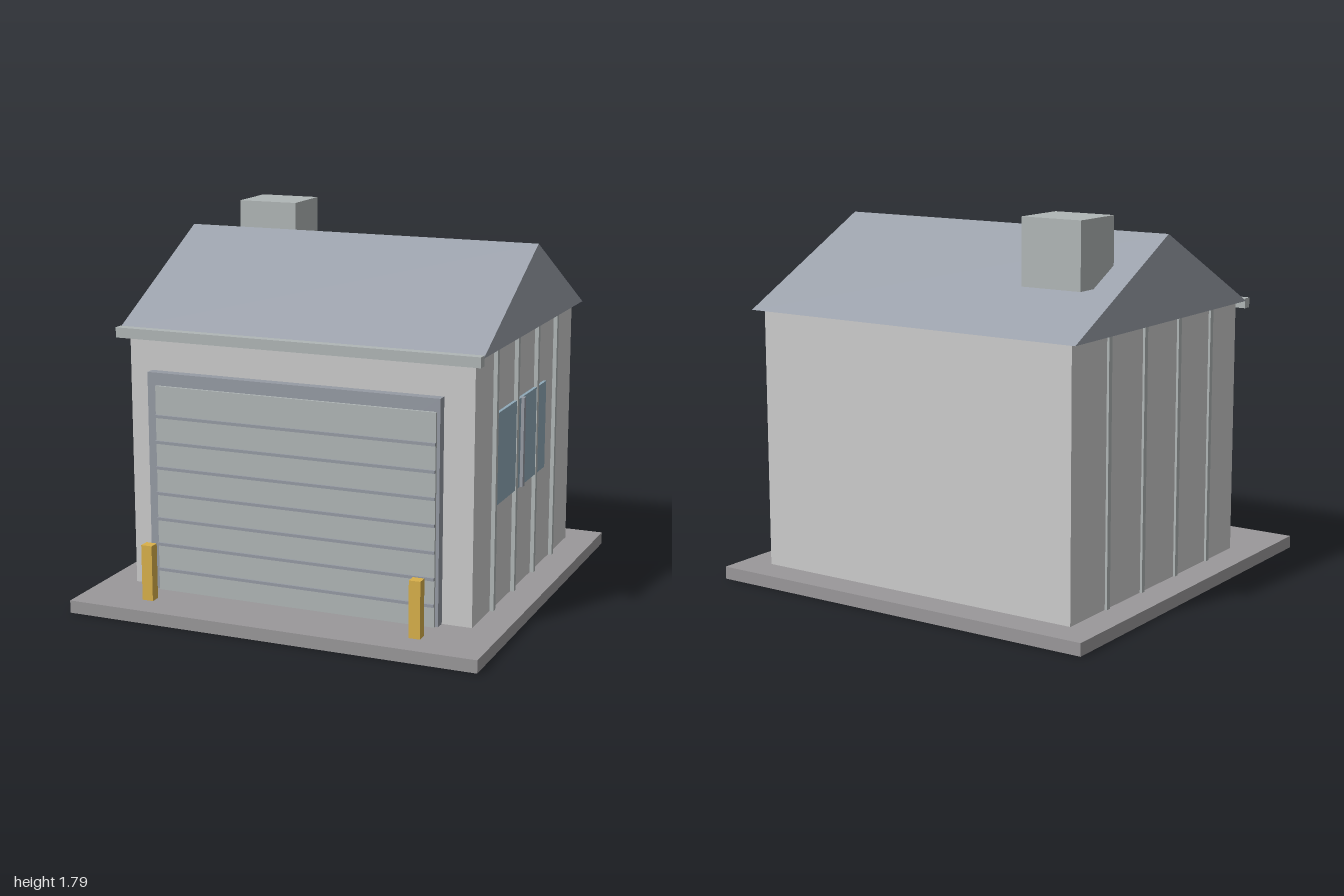
import * as THREE from 'three';

const paint = (color) => new THREE.MeshStandardMaterial({ color, flatShading: true });

export function createModel() {
  const model = new THREE.Group();
  const mats = {
    slab: paint(0x9a989a),
    wall: paint(0xcccccc),
    roof: paint(0x9aa0aa),
    frame: paint(0x969ba4),
    metal: paint(0xb0b6b6),
    glass: paint(0x8fa9b8),
    yellow: paint(0xd9b04a),
  };

  // Box given by its extents on each axis
  const box = (name, mat, [x0, x1], [y0, y1], [z0, z1]) => {
    const mesh = new THREE.Mesh(new THREE.BoxGeometry(x1 - x0, y1 - y0, z1 - z0), mats[mat]);
    mesh.position.set((x0 + x1) / 2, (y0 + y1) / 2, (z0 + z1) / 2);
    mesh.name = name;
    model.add(mesh);
  };

  // Ground slab and building body
  box('groundSlab', 'slab', [-1, 1], [0, 0.06], [-1, 1]);
  box('walls', 'wall', [-0.85, 0.848], [0.06, 1.3], [-0.845, 0.632]);

  // Gabled roof, a solid prism running along x
  const gable = new THREE.Shape();
  gable.moveTo(-0.885, 1.295);
  gable.lineTo(0.66, 1.295);
  gable.lineTo(-0.11, 1.69);
  gable.closePath();
  const roofGeometry = new THREE.ExtrudeGeometry(gable, { depth: 1.784, bevelEnabled: false });
  roofGeometry.rotateY(-Math.PI / 2).translate(0.892, 0, 0);
  const roof = new THREE.Mesh(roofGeometry, mats.roof);
  roof.name = 'roof';
  model.add(roof);

  // Gutter along the front eave, and the rooftop vent box
  box('gutter', 'metal', [-0.892, 0.892], [1.26, 1.308], [0.65, 0.694]);
  box('roofVent', 'metal', [-0.755, -0.45], [1.48, 1.787], [-0.627, -0.354]);

  // Roller door: surround, panel and ribs
  box('doorFrame', 'frame', [-0.738, 0.705], [0.06, 1.107], [0.62, 0.681]);
  box('doorPanel', 'metal', [-0.692, 0.69], [0.06, 1.047], [0.64, 0.694]);
  for (let i = 0; i < 7; i++) {
    const y = 0.163 + i * 0.1235;
    box('doorRib', 'frame', [-0.694, 0.69], [y - 0.007, y + 0.007], [0.66, 0.704]);
  }

  // Vertical battens on both side walls
  for (const z of [0.373, 0.068, -0.24, -0.547]) {
    box('leftBatten', 'metal', [0.83, 0.867], [0.06, 1.297], [z - 0.013, z + 0.013]);
    box('rightBatten', 'metal', [-0.861, -0.83], [0.06, 1.297], [z - 0.013, z + 0.013]);
  }

  // Side window with its centre bar
  box('windowGlass', 'glass', [0.83, 0.863], [0.555, 0.985], [-0.382, 0.38]);
  box('windowBar', 'frame', [0.83, 0.878], [0.555, 0.985], [-0.012, 0.015]);

  // Bollards guarding the door
  for (const x of [-0.667, 0.659]) {
    box('bollard', 'yellow', [x - 0.027, x + 0.027], [0.06, 0.326], [0.81, 0.86]);
  }

  return model;
}
